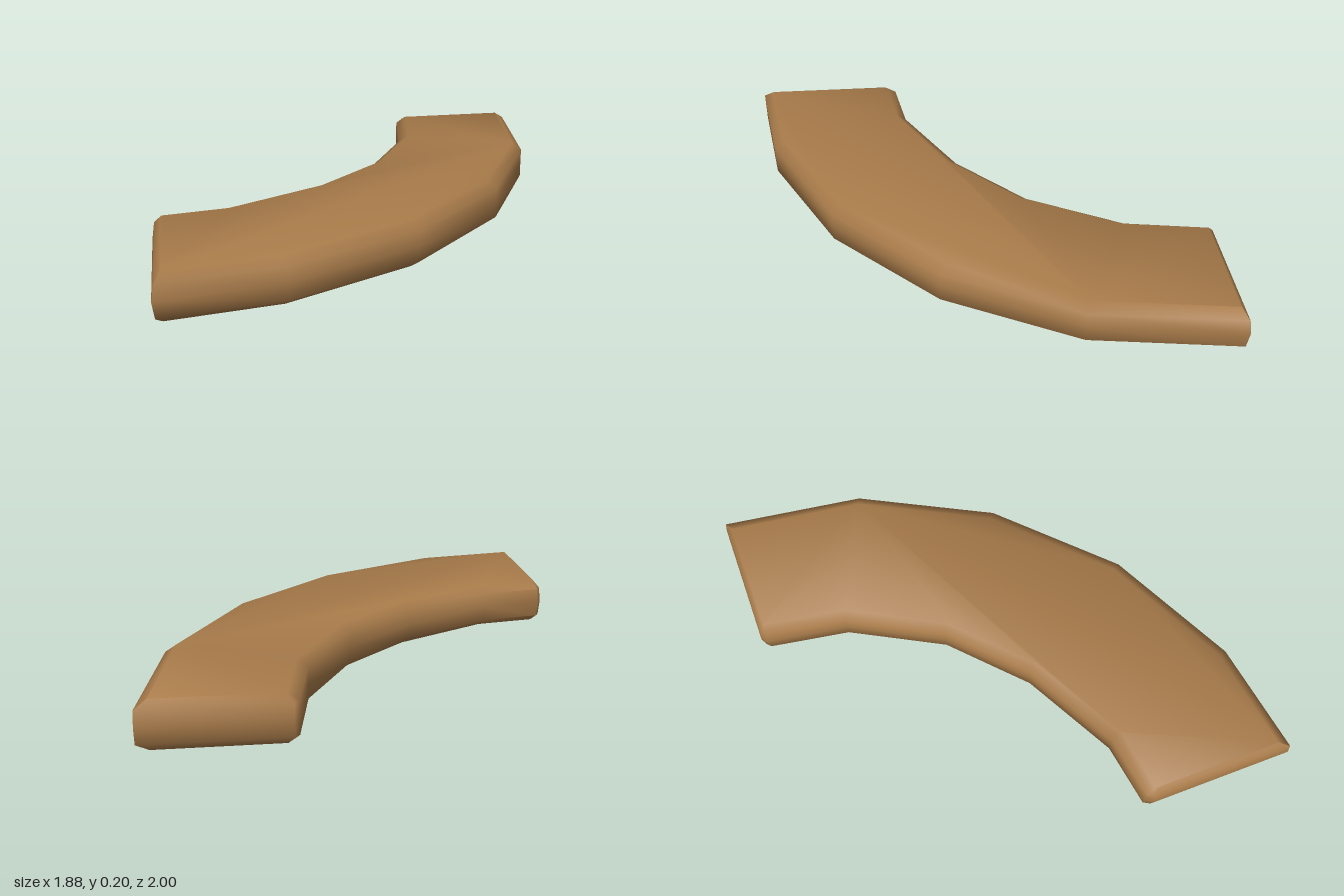
import * as THREE from 'three';
import { toCreasedNormals } from 'three/addons/utils/BufferGeometryUtils.js';

// Plan outline [x, z]: outer arc from the back end to the side end, then the inner arc back
const OUTLINE = [
  [0.94, -1], [0.85, -0.37], [0.56, 0.19], [0.115, 0.635], [-0.44, 0.917], [-0.94, 1],
  [-0.94, 0.37], [-0.92, 0.335], [-0.64, 0.29], [-0.235, 0.07],
  [0.07, -0.22], [0.285, -0.62], [0.345, -0.98], [0.365, -1],
];
const ENDS = [5, 13];    // edges that close the two ends
const CORNERS = [6, 12]; // small cut corners on the inner side

// Levels from bottom to top: height, inset of the long sides, inset of the ends
const LEVELS = [
  [0, 0.045, 0.036], [0.033, 0, 0.01], [0.1, 0, 0], [0.167, 0, 0.01], [0.2, 0.045, 0.036],
];

// Move every edge inward by its own distance and intersect neighbouring edges
function insetOutline(side, end) {
  const n = OUTLINE.length;
  const lines = OUTLINE.map(([x, z], i) => {
    const [x2, z2] = OUTLINE[(i + 1) % n];
    const len = Math.hypot(x2 - x, z2 - z);
    const dx = (x2 - x) / len, dz = (z2 - z) / len;
    const d = ENDS.includes(i) ? end : CORNERS.includes(i) ? (side + end) / 2 : side;
    return { x: x - dz * d, z: z + dx * d, dx, dz };
  });
  return lines.map((b, i) => {
    const a = lines[(i + n - 1) % n];
    const t = ((b.x - a.x) * b.dz - (b.z - a.z) * b.dx) / (a.dx * b.dz - a.dz * b.dx);
    return new THREE.Vector2(a.x + a.dx * t, a.z + a.dz * t);
  });
}

function curvedSlab() {
  const n = OUTLINE.length, positions = [], index = [];
  const loops = LEVELS.map(([y, side, end]) => {
    const loop = insetOutline(side, end);
    loop.forEach((p) => positions.push(p.x, y, p.y));
    return loop;
  });
  // Side walls and bevels
  for (let k = 0; k < LEVELS.length - 1; k++) {
    for (let i = 0; i < n; i++) {
      const a = k * n + i, b = k * n + (i + 1) % n;
      index.push(a, a + n, b + n, a, b + n, b);
    }
  }
  // Flat bottom and top
  const top = (LEVELS.length - 1) * n;
  for (const [a, b, c] of THREE.ShapeUtils.triangulateShape(loops[0], [])) {
    index.push(a, b, c, top + a, top + c, top + b);
  }
  const geometry = new THREE.BufferGeometry();
  geometry.setAttribute('position', new THREE.Float32BufferAttribute(positions, 3));
  geometry.setIndex(index);
  return toCreasedNormals(geometry, 1.1);
}

export function createModel() {
  const group = new THREE.Group();
  group.name = 'curvedPiece';
  const wood = new THREE.MeshStandardMaterial({ color: 0xa87b4a });
  wood.name = 'warm wood';
  const slab = new THREE.Mesh(curvedSlab(), wood);
  slab.name = 'curvedSlab';
  group.add(slab);
  return group;
}
